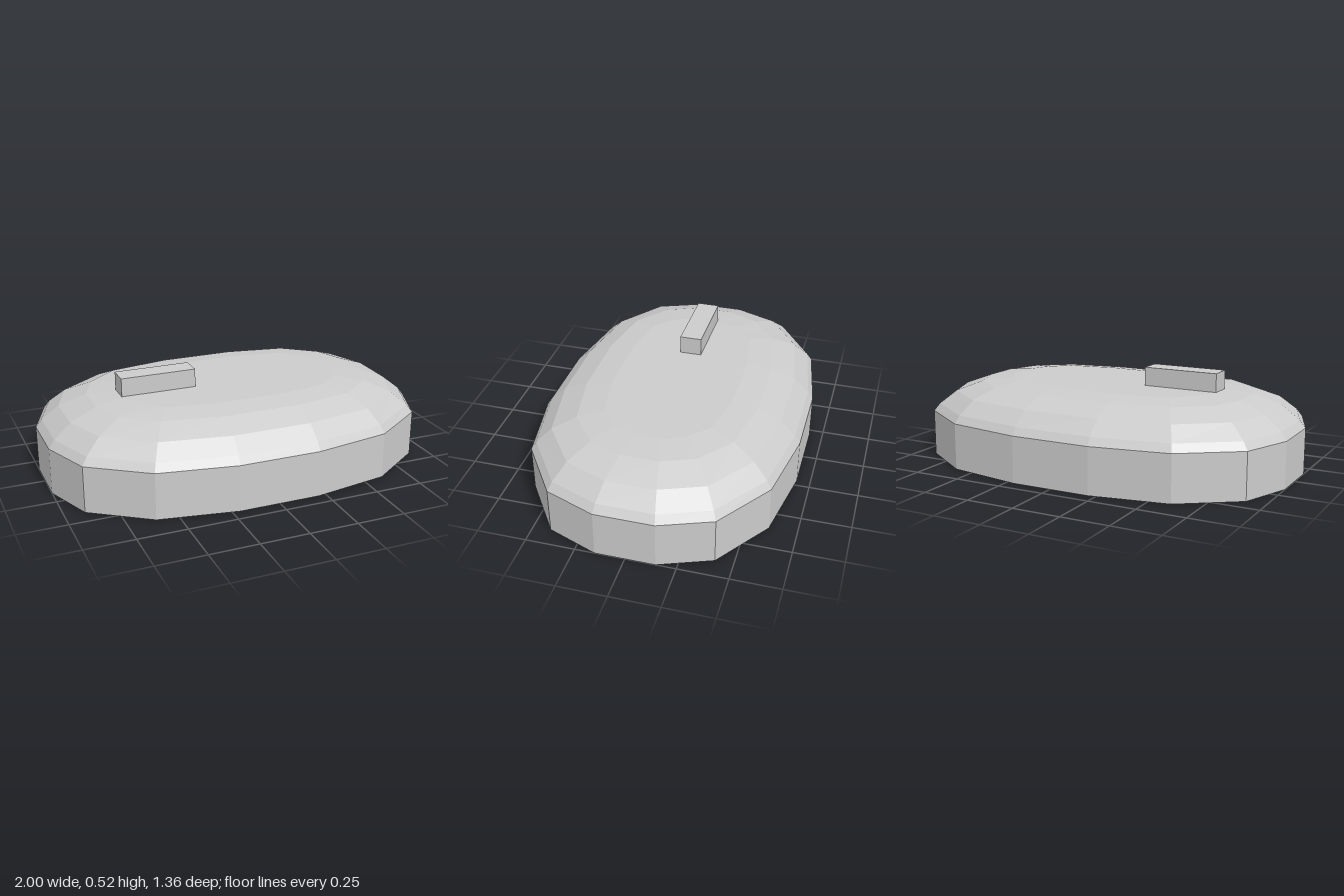
import * as THREE from 'three';

// One quarter of the 16-sided outline, from the side round to the front
const BASE = [[1, 0.15], [0.9, 0.41], [0.61, 0.61], [0.21, 0.68]];
const CROWN = [[0.59, 0.065], [0.54, 0.18], [0.44, 0.275], [0.19, 0.32]];

// Mirror a quarter outline into a full loop
function fullLoop(quarter) {
  const back = [...quarter].reverse();
  return [
    ...quarter,
    ...back.map(([x, z]) => [-x, z]),
    ...quarter.map(([x, z]) => [-x, -z]),
    ...back.map(([x, z]) => [x, -z]),
  ];
}

// Stack loops that blend from the base outline to the crown outline
function bodyGeometry() {
  const base = fullLoop(BASE), crown = fullLoop(CROWN), n = base.length;
  const levels = [[0, 0], [0.24, 0], [0.28, 0.075], [0.35, 0.29], [0.402, 0.63], [0.42, 1]]; // y, blend
  const positions = [], index = [];
  for (const [y, t] of levels) {
    base.forEach(([x, z], k) => positions.push(
      THREE.MathUtils.lerp(x, crown[k][0], t), y, THREE.MathUtils.lerp(z, crown[k][1], t)));
  }
  const last = levels.length - 1;
  const bottom = positions.length / 3, top = bottom + 1;
  positions.push(0, 0, 0, 0, 0.42, 0);
  for (let k = 0; k < n; k++) {
    const next = (k + 1) % n;
    for (let i = 0; i < last; i++) {
      const a = i * n + k, b = i * n + next, c = b + n, d = a + n;
      index.push(a, d, b, b, d, c);
    }
    index.push(bottom, k, next, top, last * n + next, last * n + k);
  }
  const geometry = new THREE.BufferGeometry();
  geometry.setAttribute('position', new THREE.Float32BufferAttribute(positions, 3));
  geometry.setIndex(index);
  const flat = geometry.toNonIndexed();
  flat.computeVertexNormals();
  return flat;
}

export function createModel() {
  const group = new THREE.Group();
  const material = new THREE.MeshStandardMaterial({ color: 0xcccccc, flatShading: true });

  // Domed oval body
  const body = new THREE.Mesh(bodyGeometry(), material);
  body.name = 'body';

  // Raised bar, off centre on the flat top
  const bar = new THREE.Mesh(new THREE.BoxGeometry(0.395, 0.115, 0.115), material);
  bar.name = 'topBar';
  bar.position.set(-0.398, 0.458, 0);

  group.add(body, bar);
  return group;
}
